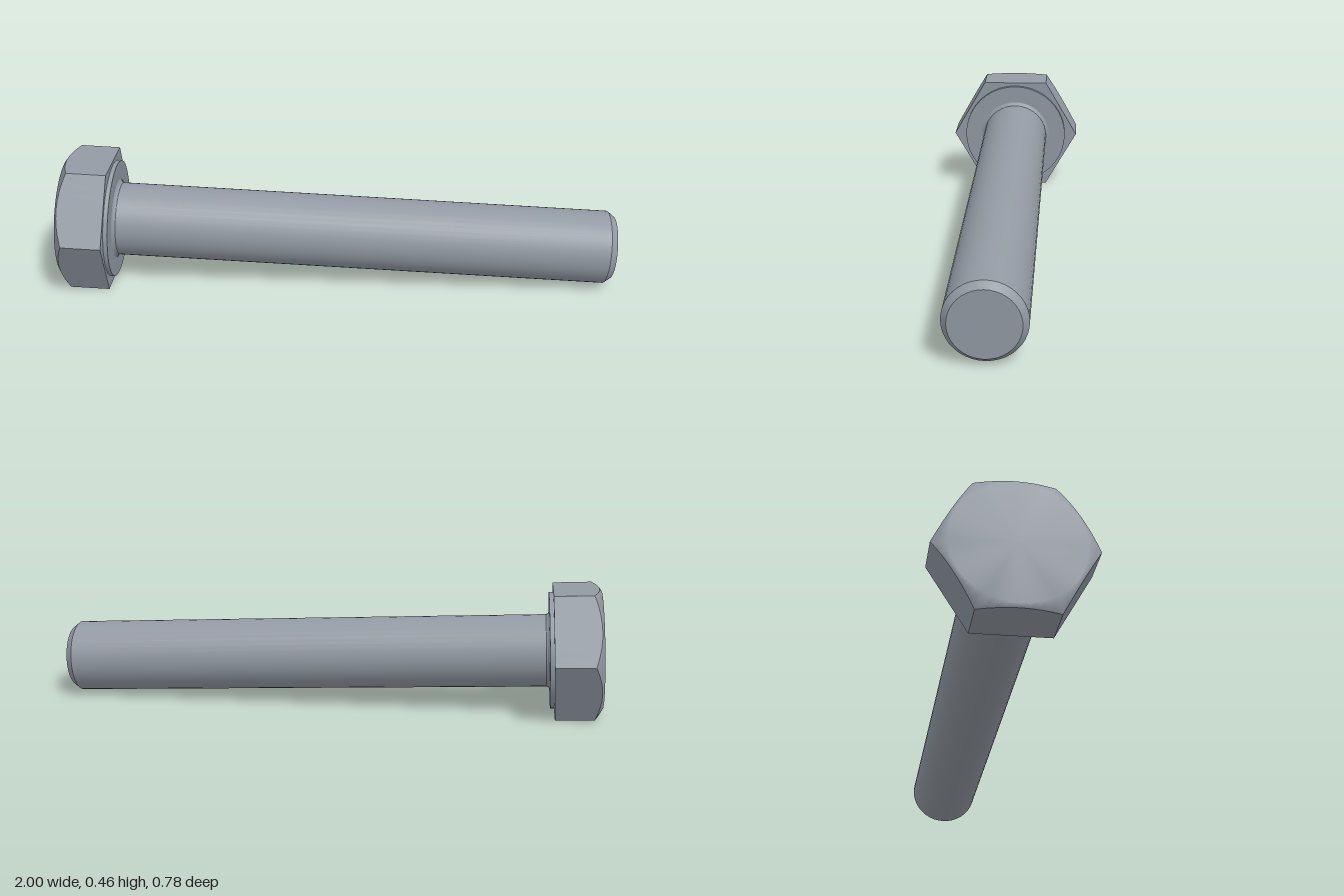
import * as THREE from 'three';

const SHANK_R = 0.131, TIP_R = 0.112, LENGTH = 1.806; // length measured from under the hexagon
const HEX_R = 0.259, HEAD = 0.17, TOP_R = 0.212;      // hexagon corner radius, thickness, flat top radius
const WASHER_R = 0.211, WASHER = 0.015;
const STEPS = 8;                                      // divisions along each hexagon side

// Distance from the axis to the hexagon outline at an angle (corners at multiples of 60 degrees)
function hexRadius(a) {
  const sector = Math.PI / 3;
  const local = ((a % sector) + sector) % sector - sector / 2;
  return HEX_R * Math.cos(sector / 2) / Math.cos(local);
}

// Point on the curved rim where the conical chamfer cuts the hexagon
function rim(a) {
  const r = hexRadius(a);
  return [r * Math.cos(a), -HEAD + (r - TOP_R) * 0.66, r * Math.sin(a)];
}

// Smooth surface through rows of points of equal length
function surface(rows, closed) {
  const n = rows[0].length, index = [];
  for (let r = 0; r < rows.length - 1; r++) {
    for (let i = 0; i < (closed ? n : n - 1); i++) {
      const j = (i + 1) % n;
      const a = r * n + i, b = r * n + j;
      index.push(a, a + n, b, b, a + n, b + n);
    }
  }
  const g = new THREE.BufferGeometry();
  g.setAttribute('position', new THREE.Float32BufferAttribute(rows.flat(2), 3));
  g.setIndex(index);
  g.computeVertexNormals();
  return g;
}

const lathe = (pts) =>
  new THREE.LatheGeometry(pts.map(([r, y]) => new THREE.Vector2(r, y)), 40);

export function createModel() {
  const steel = new THREE.MeshStandardMaterial({ color: 0x929aa3 });
  steel.name = 'steel grey';
  const bolt = new THREE.Group();
  bolt.name = 'bolt';
  const add = (name, geometry, parent = bolt) => {
    const m = new THREE.Mesh(geometry, steel);
    m.name = name;
    parent.add(m);
    return m;
  };

  // Hexagonal head: six flats with arched upper edges
  const head = new THREE.Group();
  head.name = 'head';
  bolt.add(head);
  for (let k = 0; k < 6; k++) {
    const upper = [], lower = [];
    for (let i = 0; i <= STEPS; i++) {
      const a = (k + i / STEPS) * Math.PI / 3;
      const p = rim(a);
      upper.push(p);
      lower.push([p[0], 0, p[2]]);
    }
    add('headFlat', surface([upper, lower], false), head);
  }

  // Flat crown blending softly into the conical chamfer
  const centre = [], ring = [], outer = [];
  for (let i = 0; i < 6 * STEPS; i++) {
    const a = i / STEPS * Math.PI / 3;
    centre.push([0, -HEAD, 0]);
    ring.push([TOP_R * Math.cos(a), -HEAD, TOP_R * Math.sin(a)]);
    outer.push(rim(a));
  }
  add('headCrown', surface([centre, ring, outer], true), head);
  add('headUnderside', new THREE.CircleGeometry(HEX_R, 6).rotateX(-Math.PI / 2), head);

  // Raised washer face under the head
  add('washerRim', lathe([[WASHER_R, 0], [WASHER_R, WASHER]]), head);
  add('washerFace', lathe([[WASHER_R, WASHER], [SHANK_R, WASHER]]), head);

  // Shank with a small fillet at its root and a chamfered tip
  add('shankFillet', lathe([[SHANK_R + 0.012, WASHER], [SHANK_R + 0.004, WASHER + 0.004],
    [SHANK_R, WASHER + 0.012]]));
  add('shank', lathe([[SHANK_R, WASHER + 0.012], [SHANK_R, LENGTH - 0.025]]));
  add('tipChamfer', lathe([[SHANK_R, LENGTH - 0.025], [TIP_R, LENGTH]]));
  add('tipFace', new THREE.CircleGeometry(TIP_R, 40).rotateX(-Math.PI / 2).translate(0, LENGTH, 0));

  // Lay the bolt down so it rests on the head and the tip
  const axis = new THREE.Vector3(1, -0.051, 0.213).normalize();
  const side = new THREE.Vector3(-0.213, 0, 1).normalize();
  const up = new THREE.Vector3().crossVectors(side, axis);
  bolt.quaternion.setFromRotationMatrix(new THREE.Matrix4().makeBasis(side, axis, up));

  // Centre on x and z, standing on y = 0
  const model = new THREE.Group();
  model.name = 'hexBolt';
  model.add(bolt);
  model.updateMatrixWorld(true);
  const box = new THREE.Box3().setFromObject(model, true);
  const c = box.getCenter(new THREE.Vector3());
  bolt.position.set(-c.x, -box.min.y, -c.z);
  return model;
}
